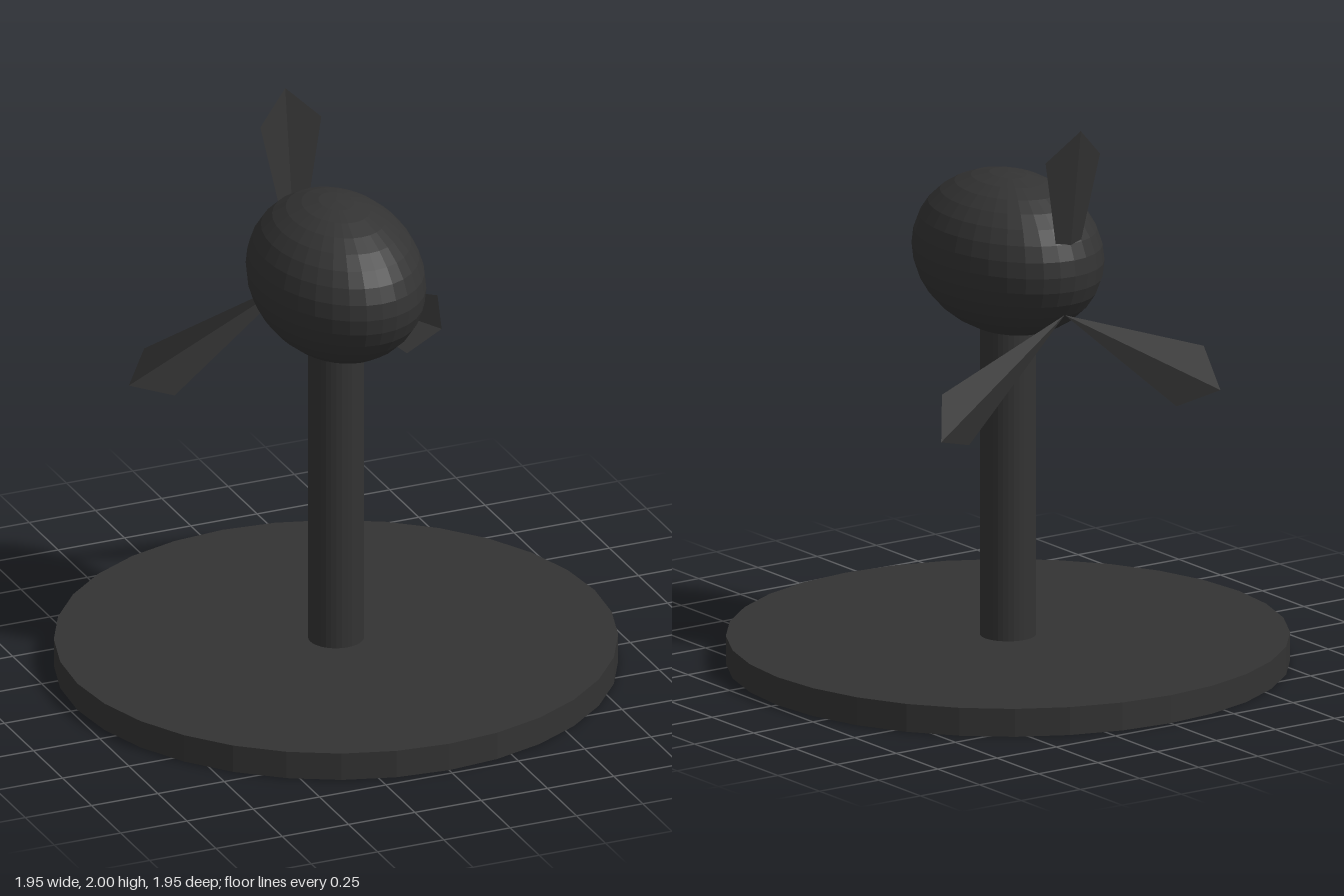
import * as THREE from 'three';

export function createModel() {
  const group = new THREE.Group();
  const dark = new THREE.MeshStandardMaterial({ color: 0x333333, flatShading: true });
  const bladeMat = new THREE.MeshStandardMaterial({ color: 0x333333, flatShading: true, side: THREE.DoubleSide });

  const add = (name, geometry, material, x, y, z, parent = group) => {
    const mesh = new THREE.Mesh(geometry, material);
    mesh.name = name;
    mesh.position.set(x, y, z);
    parent.add(mesh);
    return mesh;
  };

  // Round base plate and upright post
  add('base', new THREE.CylinderGeometry(0.975, 0.975, 0.1, 32), dark, 0, 0.05, 0);
  add('post', new THREE.CylinderGeometry(0.097, 0.097, 1.2, 32), dark, 0, 0.7, 0);

  // Egg-shaped housing, longest from front to back
  const housing = new THREE.SphereGeometry(1, 32, 16);
  housing.scale(0.291, 0.286, 0.406);
  add('housing', housing, dark, 0, 1.472, 0);

  // Blade: a thin kite folded along its middle, leaning back towards the tip
  const root = [0, 0, 0];
  const tip = [0, 0.681, -0.097];
  const rightCorner = [-0.115, 0.572, -0.049];
  const leftCorner = [0.115, 0.572, -0.049];
  const blade = new THREE.BufferGeometry();
  blade.setAttribute('position', new THREE.Float32BufferAttribute(
    [root, tip, rightCorner, root, leftCorner, tip].flat(), 3));
  blade.computeVertexNormals();

  // Three blades spread evenly about the rear hub
  const rotor = new THREE.Group();
  rotor.name = 'rotor';
  rotor.position.set(0, 1.319, -0.34);
  group.add(rotor);
  for (let i = 0; i < 3; i++) {
    add('blade', blade, bladeMat, 0, 0, 0, rotor).rotation.z = (i * Math.PI * 2) / 3;
  }

  return group;
}
